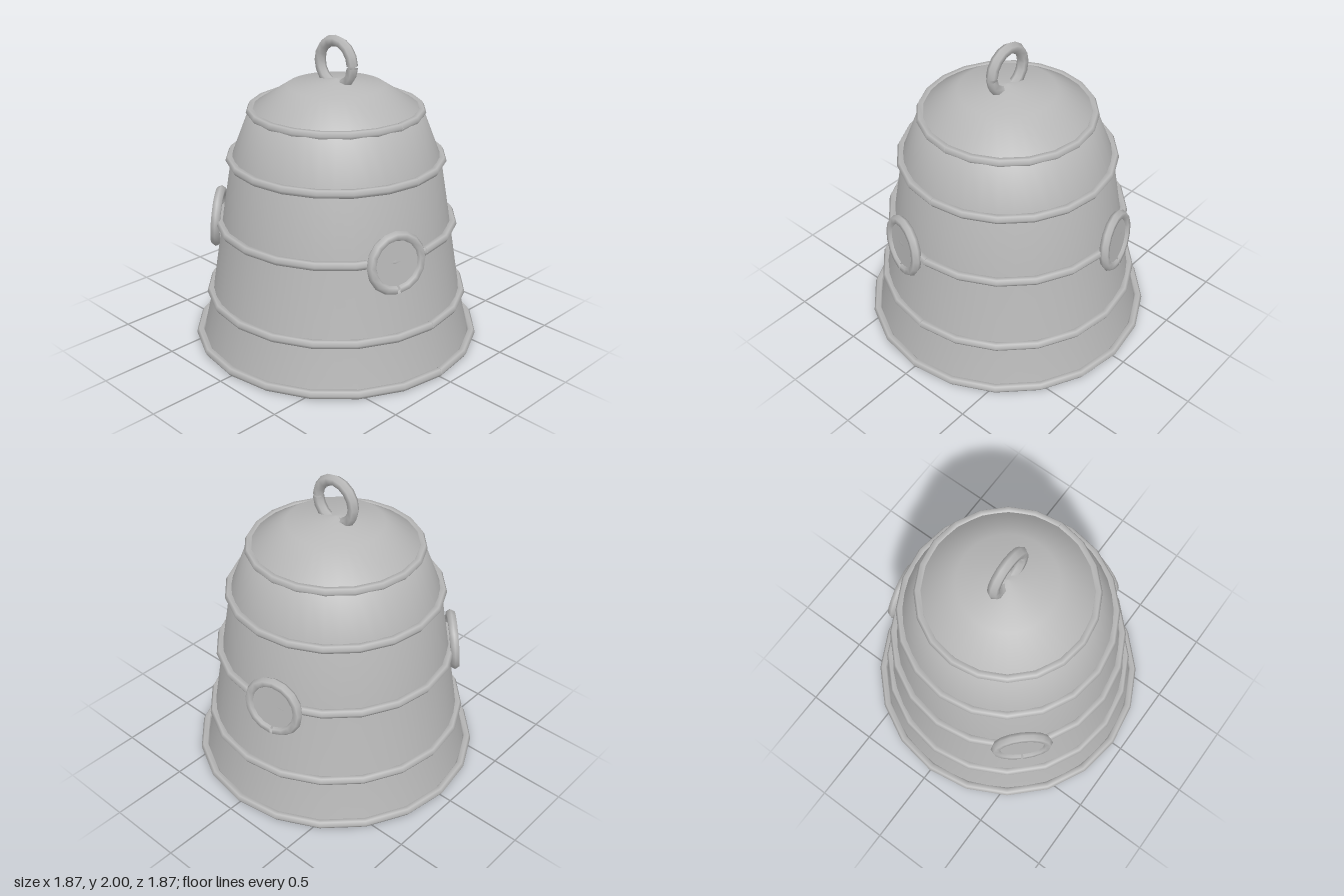
import * as THREE from 'three';

export function createModel() {
  const model = new THREE.Group();
  const grey = new THREE.MeshStandardMaterial({ color: 0xb8b8b8, side: THREE.DoubleSide });
  grey.name = 'grey';

  const add = (parent, name, geometry) => {
    const mesh = new THREE.Mesh(geometry, grey);
    mesh.name = name;
    parent.add(mesh);
    return mesh;
  };

  // Hexagonal-section hoop in the XY plane, with a small split at its start
  const hoop = (radius, tube, segments, gap) =>
    new THREE.TorusGeometry(radius, tube, 6, segments, Math.PI * 2 - gap).rotateZ(gap / 2);

  // Hollow domed shell, open at the bottom
  const profile = [
    [0.887, 0], [0.812, 0.325], [0.735, 0.805], [0.665, 1.225],
    [0.545, 1.535], [0.305, 1.69], [0, 1.73],
  ].map(([r, y]) => new THREE.Vector2(r, y));
  add(model, 'bellShell', new THREE.LatheGeometry(profile, 40));

  // Horizontal bands around the shell
  const bands = [[0.03, 0.906], [0.325, 0.824], [0.805, 0.752], [1.228, 0.672], [1.535, 0.535]];
  bands.forEach(([y, radius], i) => {
    const band = add(model, `band${i + 1}`, hoop(radius, 0.028, 20, 0.004).rotateX(Math.PI / 2));
    band.position.y = y;
  });

  // Hanging loop on top
  add(model, 'hangingLoop', hoop(0.14, 0.036, 16, 0.1)).position.y = 1.825;

  // Three round framed plates, leaning with the wall
  for (let i = 0; i < 3; i++) {
    const angle = THREE.MathUtils.degToRad(17 + i * 120);
    const plate = new THREE.Group();
    plate.name = `roundPlate${i + 1}`;
    add(plate, 'plateFrame', hoop(0.168, 0.032, 16, 0.1).rotateZ(-Math.PI / 2));
    add(plate, 'plateDisc', new THREE.CircleGeometry(0.165, 24)).position.z = 0.01;
    plate.rotation.order = 'YXZ';
    plate.rotation.set(-0.09, Math.PI / 2 - angle, 0);
    plate.position.set(0.765 * Math.cos(angle), 0.795, 0.765 * Math.sin(angle));
    model.add(plate);
  }

  return model;
}
